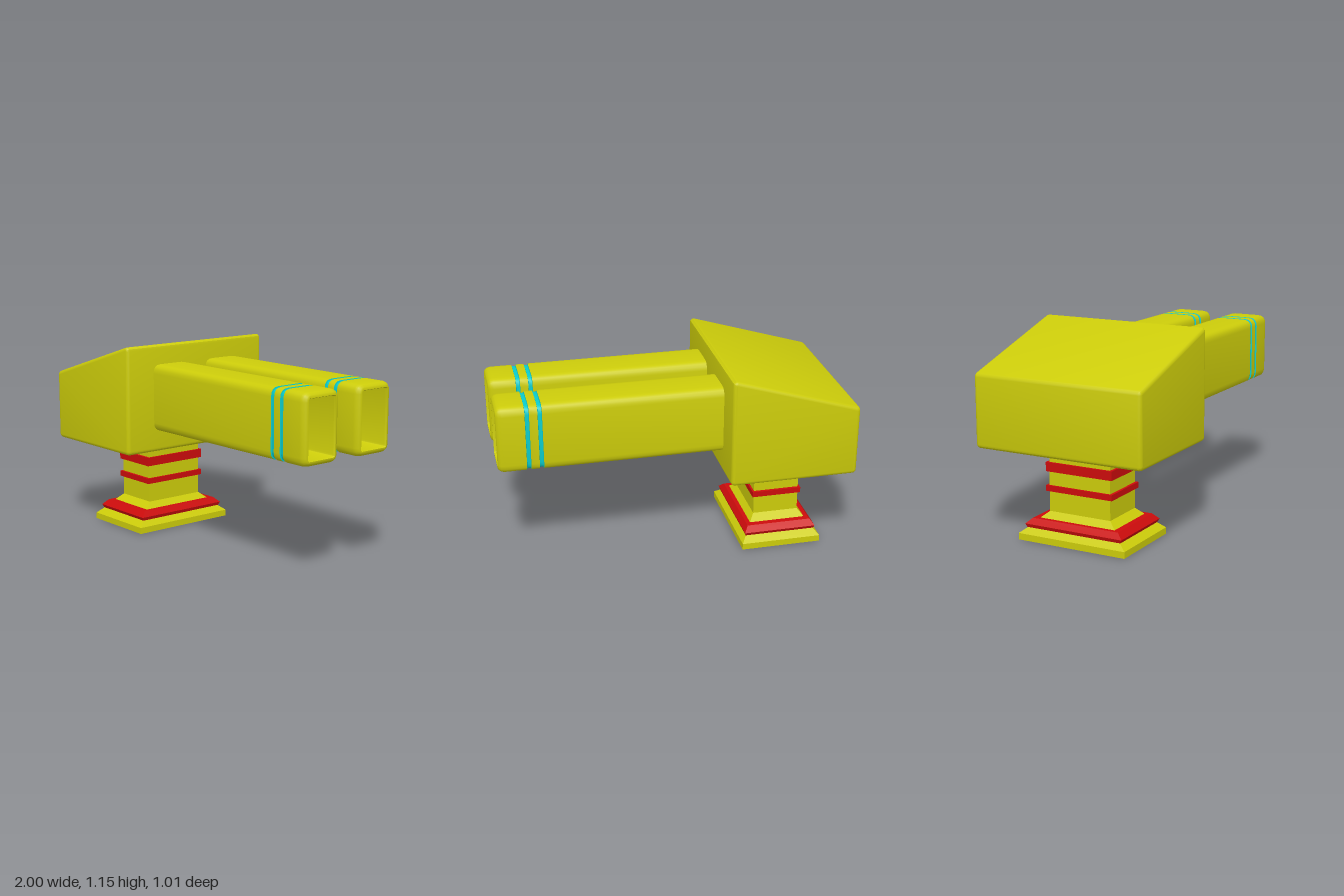
import * as THREE from 'three';
import { toCreasedNormals } from 'three/addons/utils/BufferGeometryUtils.js';

const paint = (color, flatShading = false) => new THREE.MeshStandardMaterial({ color, flatShading });
const yellow = paint(0xcccc0a), yellowFlat = paint(0xcccc0a, true);
const red = paint(0xcc0c0c, true), cyan = paint(0x0acccc);

function add(parent, name, geometry, material) {
  const mesh = new THREE.Mesh(geometry, material);
  mesh.name = name;
  parent.add(mesh);
  return mesh;
}

// Polygon with every corner rounded off over a distance r
function roundedPolygon(corners, r) {
  const pts = corners.map(([x, y]) => new THREE.Vector2(x, y));
  const shape = new THREE.Shape();
  pts.forEach((p, i) => {
    const before = pts[(i + pts.length - 1) % pts.length], after = pts[(i + 1) % pts.length];
    const a = before.clone().sub(p).setLength(r).add(p);
    const b = after.clone().sub(p).setLength(r).add(p);
    if (i === 0) shape.moveTo(a.x, a.y); else shape.lineTo(a.x, a.y);
    shape.quadraticCurveTo(p.x, p.y, b.x, b.y);
  });
  return shape;
}

// Skin over rounded rectangles along x; each section is [x, inset, corner radius]
function barrelSkin(sections) {
  const positions = [], index = [];
  let n = 0;
  for (const [x, inset, r = 0.05] of sections) {
    const w = 0.126 - inset, h = 0.195 - inset;
    const ring = roundedPolygon([[-w, -h], [w, -h], [w, h], [-w, h]], r).getPoints(4);
    n = ring.length;
    for (const p of ring) positions.push(x, p.y, p.x);
  }
  for (let i = 0; i < sections.length - 1; i++) {
    for (let j = 0; j < n; j++) {
      const a = i * n + j, b = i * n + (j + 1) % n;
      index.push(a, a + n, b, b, a + n, b + n);
    }
  }
  const g = new THREE.BufferGeometry();
  g.setAttribute('position', new THREE.Float32BufferAttribute(positions, 3));
  g.setIndex(index);
  return toCreasedNormals(g, 0.6);
}

// Four-sided oblong turning from [half depth, y] points
function squareTurn(profile) {
  const pts = profile.map(([r, y]) => new THREE.Vector2(r * Math.SQRT2, y));
  return new THREE.LatheGeometry(pts, 4).rotateY(Math.PI / 4).scale(0.71, 1, 1);
}

export function createModel() {
  const model = new THREE.Group();
  model.name = 'twinBarrelTurret';

  // Pedestal
  const pedestal = new THREE.Group();
  pedestal.name = 'pedestal';
  pedestal.position.x = -0.63;
  model.add(pedestal);
  add(pedestal, 'footAndColumn', squareTurn([
    [0, 0], [0.332, 0], [0.332, 0.037], [0.285, 0.073], [0.25, 0.073],
    [0.235, 0.12], [0.19, 0.157], [0.19, 0.54],
  ]), yellowFlat);
  add(pedestal, 'footBand', squareTurn([
    [0.24, 0.07], [0.292, 0.07], [0.302, 0.09], [0.268, 0.121], [0.22, 0.121],
  ]), red);
  for (const [low, high] of [[0.272, 0.305], [0.383, 0.435]]) {
    add(pedestal, 'columnBand', squareTurn([
      [0.18, low], [0.206, low], [0.206, high], [0.18, high],
    ]), red);
  }

  // Wedge-shaped head with softened edges
  const side = roundedPolygon([[-0.98, 0.545], [-0.285, 0.545], [-0.285, 1.135], [-0.98, 0.92]], 0.006);
  const head = new THREE.ExtrudeGeometry(side, {
    depth: 0.97, bevelSize: 0.02, bevelThickness: 0.02, bevelSegments: 3, curveSegments: 3,
  }).translate(0, 0, -0.485);
  add(model, 'head', toCreasedNormals(head, 0.6), yellow);

  // Two hollow barrels, each with two recessed stripes
  const stripes = [0.748, 0.818], width = 0.024;
  for (const s of [1, -1]) {
    const barrel = new THREE.Group();
    barrel.name = s > 0 ? 'frontBarrel' : 'backBarrel';
    barrel.position.set(0, 0.845, s * 0.193);
    model.add(barrel);
    add(barrel, 'barrelBody', barrelSkin([[-0.28, 0], [stripes[0], 0]]), yellow);
    add(barrel, 'barrelCollar', barrelSkin([[stripes[0] + width, 0], [stripes[1], 0]]), yellow);
    add(barrel, 'muzzleAndBore', barrelSkin([
      [stripes[1] + width, 0], [0.965, 0], [0.982, 0.004, 0.046], [0.995, 0.014, 0.036],
      [1, 0.024, 0.026], [1, 0.03, 0.012], [0.99, 0.034, 0.01], [-0.28, 0.034, 0.01],
    ]), yellow);
    for (const x of stripes) {
      add(barrel, 'stripe', barrelSkin([
        [x, 0], [x + 0.002, 0.007, 0.045], [x + width - 0.002, 0.007, 0.045], [x + width, 0],
      ]), cyan);
    }
  }
  return model;
}
